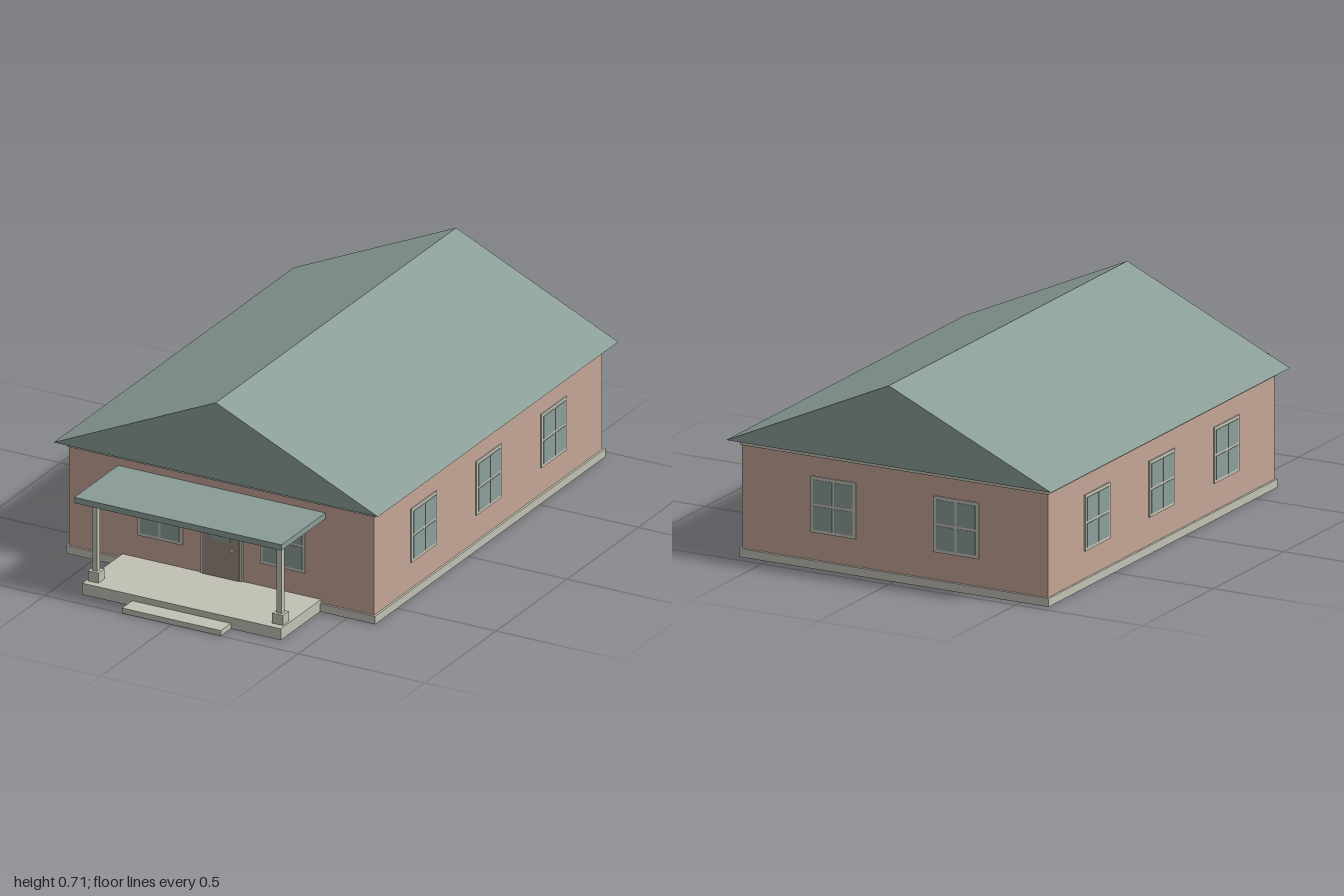
import * as THREE from 'three';

const mat = (name, color) => {
  const m = new THREE.MeshStandardMaterial({ color });
  m.name = name;
  return m;
};

export function createModel() {
  const house = new THREE.Group();
  house.name = 'house';
  const wall = mat('wall clay', 0xc4a596);
  const trim = mat('trim stone', 0xc1c0b4);
  const roofing = mat('roof green', 0x8a9c96);
  const glass = mat('window glass', 0x8b9e99);
  const doorBrown = mat('door brown', 0x978880);
  const knobMetal = mat('knob metal', 0xd0c8bc);

  // Box given by its extents on each axis
  function box(name, material, [x0, x1], [y0, y1], [z0, z1], parent = house) {
    const mesh = new THREE.Mesh(new THREE.BoxGeometry(x1 - x0, y1 - y0, z1 - z0), material);
    mesh.position.set((x0 + x1) / 2, (y0 + y1) / 2, (z0 + z1) / 2);
    mesh.name = name;
    parent.add(mesh);
    return mesh;
  }

  // Main body
  box('foundation', trim, [-0.61, 0.61], [0, 0.03], [-0.965, 0.655]);
  box('walls', wall, [-0.602, 0.602], [0.03, 0.402], [-0.955, 0.647]);
  box('eavesBand', trim, [-0.607, 0.607], [0.402, 0.425], [-0.96, 0.652]);

  // Gable roof
  const gable = new THREE.Shape();
  gable.moveTo(-0.64, 0.425);
  gable.lineTo(0.64, 0.425);
  gable.lineTo(0, 0.715);
  gable.closePath();
  const roof = new THREE.Mesh(
    new THREE.ExtrudeGeometry(gable, { depth: 1.688, bevelEnabled: false }), roofing);
  roof.position.z = -1;
  roof.name = 'roof';
  house.add(roof);

  // Four-pane window facing +z, turned onto its wall
  function windowAt(x, z, turn) {
    const g = new THREE.Group();
    g.name = 'window';
    box('windowFrame', trim, [-0.089, 0.089], [-0.101, 0.101], [-0.002, 0.005], g);
    for (const sx of [-1, 1]) for (const sy of [-1, 1]) {
      const pane = box('windowPane', glass, [-0.0365, 0.0365], [-0.0425, 0.0425], [0.003, 0.007], g);
      pane.position.x = sx * 0.041;
      pane.position.y = sy * 0.047;
    }
    g.position.set(x, 0.23, z);
    g.rotation.y = turn;
    house.add(g);
  }
  for (const s of [-1, 1]) {
    windowAt(s * 0.242, 0.647, 0);
    windowAt(s * 0.242, -0.955, Math.PI);
    for (const z of [0.304, -0.153, -0.61]) windowAt(s * 0.602, z, s * Math.PI / 2);
  }

  // Front door
  box('doorFrame', trim, [-0.083, 0.083], [0.043, 0.332], [0.645, 0.652]);
  box('door', doorBrown, [-0.073, 0.073], [0.043, 0.319], [0.648, 0.655]);
  box('doorWindow', glass, [-0.039, 0.039], [0.182, 0.269], [0.652, 0.657]);
  box('doorKnob', knobMetal, [0.04, 0.054], [0.149, 0.159], [0.653, 0.662]);

  // Porch
  box('porchFloor', trim, [-0.392, 0.392], [0, 0.043], [0.64, 0.93]);
  box('porchStep', trim, [-0.195, 0.195], [0, 0.02], [0.92, 1]);
  box('porchRoof', roofing, [-0.409, 0.409], [0.351, 0.373], [0.645, 0.955]);
  for (const s of [-1, 1]) {
    const x = s * 0.364;
    box('postBase', trim, [x - 0.021, x + 0.021], [0.043, 0.081], [0.861, 0.903]);
    box('porchPost', trim, [x - 0.01, x + 0.01], [0.081, 0.351], [0.872, 0.892]);
  }
  return house;
}
